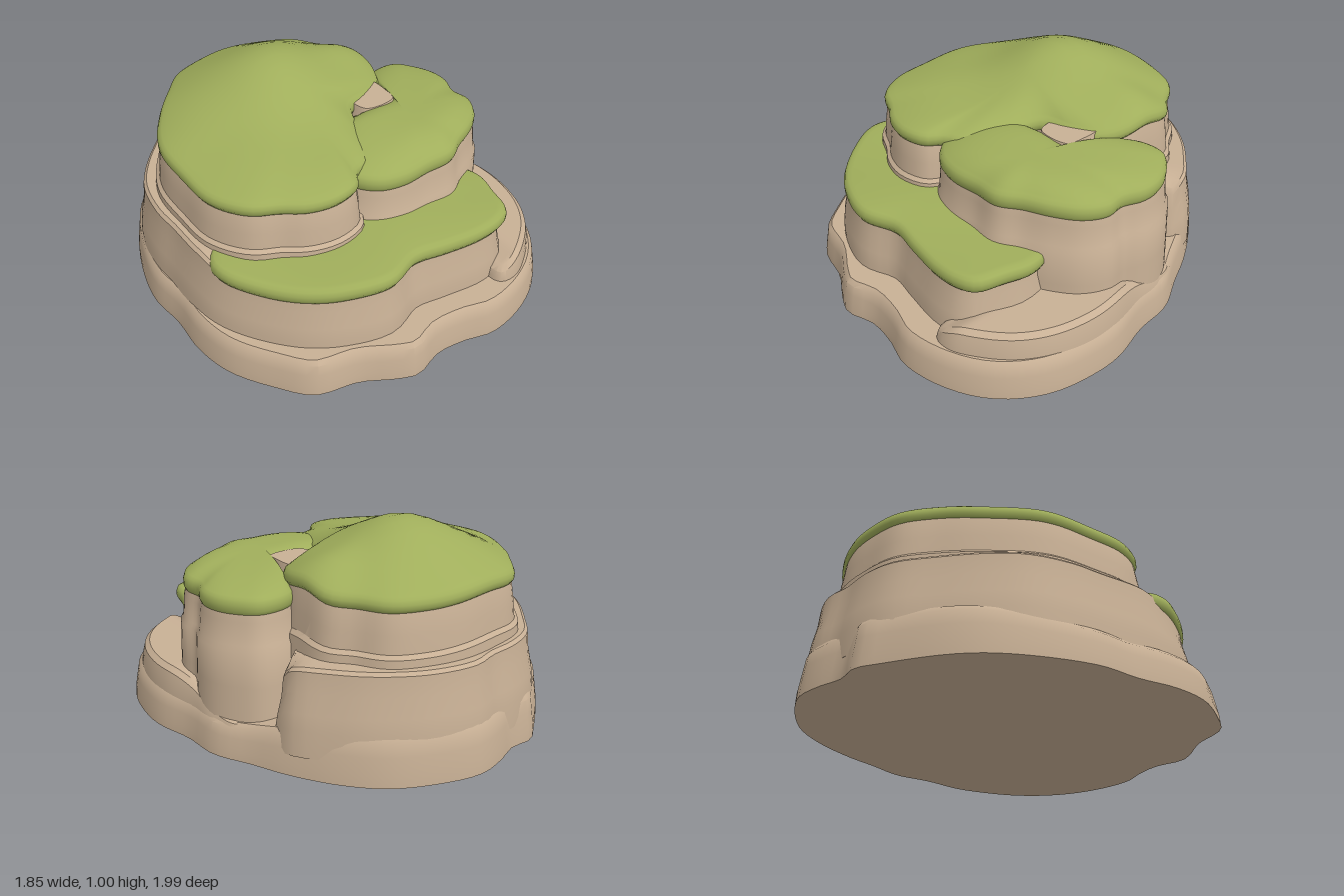
import * as THREE from 'three';
import { toCreasedNormals } from 'three/addons/utils/BufferGeometryUtils.js';

const SIDES = 110;
const bump = (x, z, cx, cz, w) => Math.exp(-((x - cx) ** 2 + (z - cz) ** 2) / w);
const ramp = THREE.MathUtils.smoothstep;

// Smooth closed outline in plan from x, z pairs, with outward normals
function traceOutline(flat) {
  const pts = [];
  for (let i = 0; i < flat.length; i += 2) pts.push(new THREE.Vector3(flat[i], 0, flat[i + 1]));
  const ring = new THREE.CatmullRomCurve3(pts, true, 'centripetal').getSpacedPoints(SIDES).slice(0, SIDES);
  return ring.map((p, i) => {
    const t = ring[(i + 2) % SIDES].clone().sub(ring[(i + SIDES - 2) % SIDES]).normalize();
    return { x: p.x, z: p.z, nx: t.z, nz: -t.x };
  });
}

// Lofts an outline upwards. walls: [outset, height factor, added height]; the top closes towards a centre.
function loft(flat, [cx, cz], height, walls, dome, crease) {
  const outline = traceOutline(flat);
  const pos = [], index = [];
  const addRing = (outset, scale, yOf) => outline.forEach((p) => {
    const x = cx + (p.x + p.nx * outset - cx) * scale;
    const z = cz + (p.z + p.nz * outset - cz) * scale;
    pos.push(x, yOf(x, z), z);
  });
  const wallY = ([, k, add]) => (x, z) => height(x, z) * k + add;
  addRing(walls[0][0], 0, wallY(walls[0]));
  walls.forEach((w) => addRing(w[0], 1, wallY(w)));
  const last = walls[walls.length - 1];
  for (const s of [0.96, 0.9, 0.8, 0.68, 0.55, 0.42, 0.3, 0.18, 0.08, 0]) {
    addRing(last[0], s, (x, z) => height(x, z) * last[1] + last[2] + dome * (1 - s ** 4));
  }
  const rings = pos.length / 3 / SIDES;
  for (let r = 0; r < rings - 1; r++) {
    for (let i = 0; i < SIDES; i++) {
      const j = (i + 1) % SIDES, b = r * SIDES, t = b + SIDES;
      if (r > 0) index.push(b + j, b + i, t + i);
      if (r < rings - 2) index.push(b + j, t + i, t + j);
    }
  }
  const geo = new THREE.BufferGeometry();
  geo.setAttribute('position', new THREE.Float32BufferAttribute(pos, 3));
  geo.setIndex(index);
  return toCreasedNormals(geo, crease);
}

// Plan outlines, clockwise from above
const BASE = [
  0, -1, 0.2, -0.95, 0.4, -0.85, 0.55, -0.7, 0.68, -0.5, 0.76, -0.33, 0.85, -0.15, 0.87, 0.05, 0.92, 0.25,
  0.92, 0.4, 0.88, 0.6, 0.8, 0.75, 0.68, 0.87, 0.5, 0.96, 0.3, 0.995, 0.15, 0.96, 0, 0.95, -0.15, 0.995,
  -0.25, 0.96, -0.4, 0.88, -0.6, 0.83, -0.72, 0.7, -0.85, 0.5, -0.9, 0.3, -0.9, 0.1, -0.925, -0.1,
  -0.88, -0.35, -0.8, -0.55, -0.7, -0.68, -0.5, -0.85, -0.4, -0.92, -0.28, -0.92, -0.15, -0.97];
const SHELF = [
  0.76, -0.25, 0.82, -0.1, 0.83, 0.05, 0.87, 0.25, 0.87, 0.4, 0.83, 0.57, 0.75, 0.71, 0.63, 0.82, 0.5, 0.89,
  0.42, 0.88, 0.42, 0.6, 0.4, 0.2, 0.5, -0.15];
const MID = [
  -0.02, -0.915, 0.2, -0.87, 0.4, -0.75, 0.53, -0.62, 0.63, -0.48, 0.62, -0.4, 0.5, -0.33, 0.45, -0.1,
  0.45, 0.25, 0.55, 0.4, 0.57, 0.55, 0.52, 0.68, 0.47, 0.76, 0.35, 0.79, 0.15, 0.77, -0.02, 0.75, -0.2, 0.81,
  -0.4, 0.76, -0.55, 0.67, -0.7, 0.5, -0.78, 0.35, -0.81, 0.2, -0.82, 0, -0.83, -0.15, -0.8, -0.35,
  -0.72, -0.5, -0.58, -0.67, -0.45, -0.8, -0.3, -0.86, -0.15, -0.88];
const LEDGE_GRASS = [
  0.57, 0.4, 0.6, 0.5, 0.57, 0.62, 0.53, 0.75, 0.45, 0.79, 0.33, 0.8, 0.15, 0.78, -0.02, 0.76, -0.2, 0.82,
  -0.4, 0.77, -0.55, 0.68, -0.7, 0.52, -0.78, 0.38, -0.78, 0.28, -0.6, 0.12, -0.2, 0.2, 0.3, 0.3];
const HILL = [
  -0.02, -0.82, 0.15, -0.79, 0.3, -0.72, 0.38, -0.6, 0.46, -0.5, 0.47, -0.35, 0.46, -0.22, 0.4, -0.1, 0.3, -0.04,
  0.15, 0.02, 0.08, 0.2, 0, 0.36, -0.1, 0.41, -0.15, 0.48, -0.27, 0.51, -0.4, 0.48, -0.5, 0.42, -0.62, 0.36,
  -0.72, 0.2, -0.74, 0, -0.74, -0.2, -0.7, -0.33, -0.6, -0.5, -0.5, -0.62, -0.38, -0.75, -0.2, -0.8];
const LOBE = [
  0.45, -0.22, 0.53, -0.27, 0.65, -0.27, 0.72, -0.2, 0.77, -0.1, 0.775, 0, 0.74, 0.1, 0.75, 0.2, 0.7, 0.3,
  0.6, 0.38, 0.48, 0.44, 0.38, 0.5, 0.25, 0.5, 0.1, 0.51, -0.02, 0.48, -0.1, 0.4, -0.13, 0.25, -0.05, 0.1,
  0.2, 0.03, 0.38, 0.01, 0.41, -0.1];
const SADDLE = [0.2, -0.14, 0.38, -0.14, 0.4, 0, 0.38, 0.08, 0.2, 0.08];

// Height of each layer's rim over the plan
const baseY = (x, z) => 0.18 + 0.05 * ramp(-z, 0.1, 0.7) - 0.02 * bump(x, z, 0.8, -0.3, 0.05);
const shelfY = (x, z) => 0.295 - 0.12 * ramp(-z, -0.25, 0.25) - 0.05 * ramp(-x, -0.56, -0.42);
const midY = (x, z) => 0.5 - 0.03 * ramp(z, 0.2, 0.4) - 0.12 * bump(x, z, 0.66, -0.36, 0.006);
const ledgeY = (x, z) => 0.495 + 0.006 * Math.sin(7 * x + 4 * z);
const hillY = (x, z) => 0.775 + 0.18 * bump(x, z, -0.08, -0.35, 0.125)
  + 0.05 * bump(x, z, 0.4, -0.36, 0.025) + 0.005 * Math.sin(11 * x) * Math.sin(9 * z);
const lobeY = (x, z) => 0.745 + 0.012 * Math.sin(6 * x + 1) * Math.cos(5 * z);

// Wall profiles
const BASE_WALL = [[0, 0, 0], [-0.003, 0.25, 0], [-0.015, 0.6, 0], [-0.025, 0.88, 0], [-0.045, 1, 0]];
const SHELF_WALL = [[0.02, 0.3, 0], [0.012, 0.6, 0], [0.005, 0.8, 0], [-0.005, 0.93, 0], [-0.03, 1, 0]];
const MID_WALL = [[0.05, 0.2, 0], [0.045, 0.45, 0], [0.035, 0.6, 0], [0.015, 0.78, 0], [0.005, 0.97, 0], [-0.01, 1, 0]];
const CLIFF_WALL = [[0.065, 0.15, 0], [0.055, 0.5, 0], [0.045, 0.64, 0], [0.042, 0.68, 0], [0.024, 0.7, 0],
  [0.015, 0.8, 0], [0, 0.92, 0], [-0.015, 0.97, 0], [-0.03, 0.97, 0]];
const LOBE_WALL = [[0.05, 0.15, 0], [0.042, 0.45, 0], [0.035, 0.68, 0], [0.022, 0.71, 0], [0.012, 0.85, 0],
  [-0.005, 0.95, 0], [-0.03, 0.97, 0]];
const SADDLE_WALL = [[0.03, 0.5, 0], [0.01, 0.9, 0], [-0.01, 1, 0]];
const grassWall = (depth) => [[-0.03, 1, -depth], [0, 1, -depth], [0.012, 1, -depth * 0.7],
  [0.012, 1, -depth * 0.4], [0.004, 1, -depth * 0.12], [-0.012, 1, 0]];

export function createModel() {
  const rock = new THREE.MeshStandardMaterial({ color: 0xc8b095 });
  rock.name = 'sandy rock';
  const grass = new THREE.MeshStandardMaterial({ color: 0xa0ae5b });
  grass.name = 'moss green';

  const model = new THREE.Group();
  model.name = 'terracedRock';
  const add = (name, material, ...args) => {
    const mesh = new THREE.Mesh(loft(...args), material);
    mesh.name = name;
    model.add(mesh);
  };

  // Stone terraces from the ground up
  add('baseRock', rock, BASE, [0, 0], baseY, BASE_WALL, 0, 0.6);
  add('sideShelf', rock, SHELF, [0.58, 0.3], shelfY, SHELF_WALL, 0, 0.6);
  add('middleTerrace', rock, MID, [0, 0], midY, MID_WALL, 0, 0.6);
  add('mainCliff', rock, HILL, [-0.1, -0.1], hillY, CLIFF_WALL, 0, 0.6);
  add('sideCliff', rock, LOBE, [0.34, 0.22], lobeY, LOBE_WALL, 0, 0.6);
  add('saddleRock', rock, SADDLE, [0.3, -0.03], () => 0.8, SADDLE_WALL, 0, 0.6);

  // Grass caps with rounded, overhanging rims
  add('ledgeGrass', grass, LEDGE_GRASS, [-0.05, 0.4], ledgeY, grassWall(0.075), 0.012, 1.2);
  add('hillGrass', grass, HILL, [-0.1, -0.1], hillY, grassWall(0.065), 0.05, 1.2);
  add('sideGrass', grass, LOBE, [0.34, 0.22], lobeY, grassWall(0.085), 0.06, 1.2);
  return model;
}
